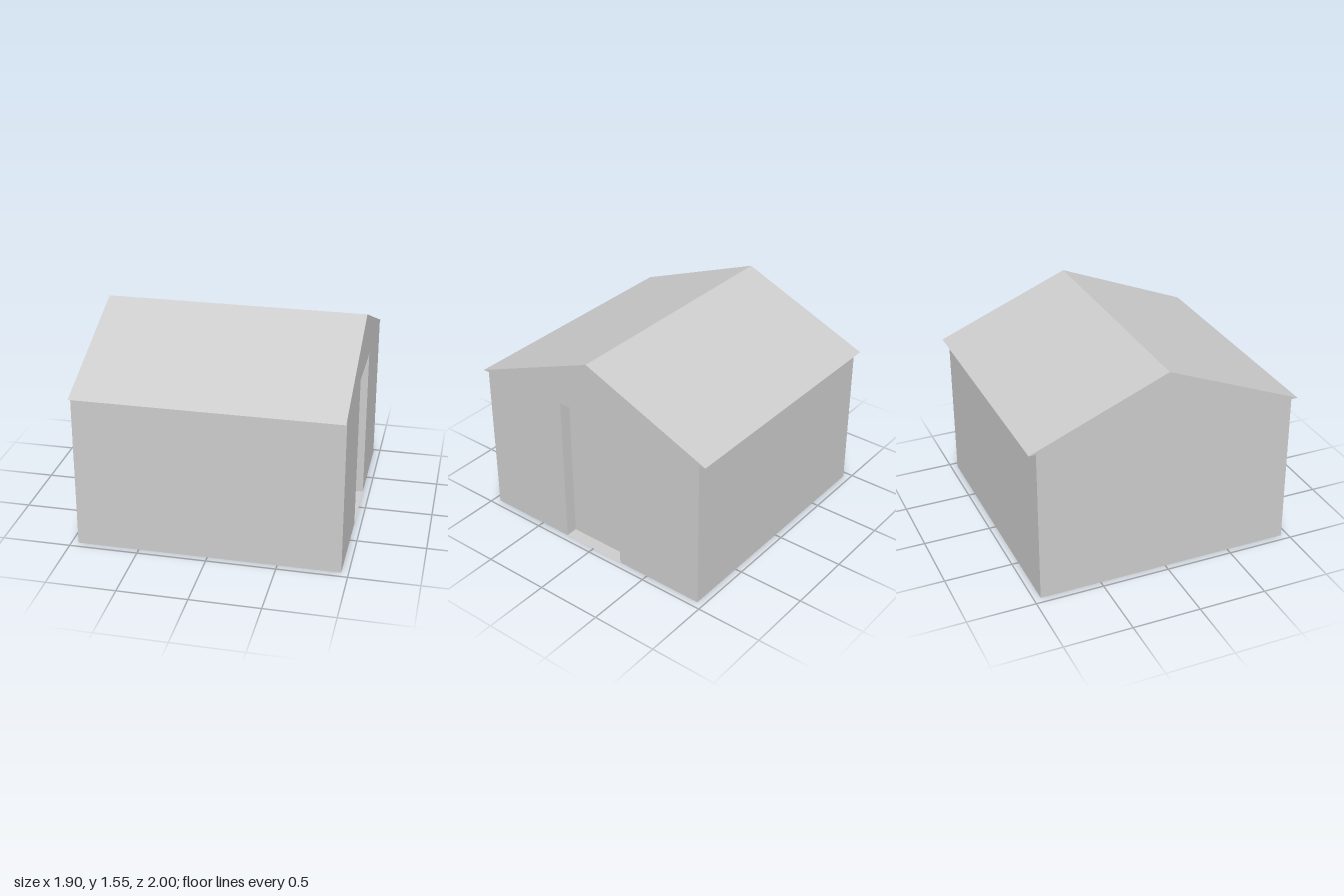
import * as THREE from 'three';

const END = 0.95;      // half length along the ridge
const WALL = 0.95;     // half depth of the walls
const EAVE = 1.145;    // eave height
const RIDGE = 1.55;
const DOOR = 0.255;    // half width of the doorway
const DOOR_TOP = 1.15;
const RECESS = 0.09;

const material = new THREE.MeshStandardMaterial({ color: 0xcccccc, flatShading: true });

function part(name, geometry) {
  const mesh = new THREE.Mesh(geometry, material);
  mesh.name = name;
  return mesh;
}

// Sweeps a [z, y] outline along x, one flat strip per segment
function sweep(outline, x0, x1) {
  const position = [];
  for (let i = 0; i < outline.length - 1; i++) {
    const [az, ay] = outline[i];
    const [bz, by] = outline[i + 1];
    position.push(x0, ay, az, x1, ay, az, x1, by, bz);
    position.push(x0, ay, az, x1, by, bz, x0, by, bz);
  }
  const geometry = new THREE.BufferGeometry();
  geometry.setAttribute('position', new THREE.Float32BufferAttribute(position, 3));
  geometry.computeVertexNormals();
  return geometry;
}

// Flat panel facing +x (side 1) or -x (side -1)
function panel(points, side, x) {
  const shape = new THREE.Shape(points.map(([z, y]) => new THREE.Vector2(z, y)));
  return new THREE.ShapeGeometry(shape).rotateY(side * Math.PI / 2).translate(x, 0, 0);
}

export function createModel() {
  const group = new THREE.Group();
  group.name = 'gabledShed';

  const gable = [[WALL, 0], [WALL, EAVE], [1, EAVE], [0, RIDGE], [-1, EAVE], [-WALL, EAVE], [-WALL, 0]];
  const opening = [[-DOOR, 0], [-DOOR, DOOR_TOP], [DOOR, DOOR_TOP], [DOOR, 0]];

  // Long sides, floor and roof with its small eaves
  group.add(part('floor', sweep([[-WALL, 0], [WALL, 0]], -END, END)));
  group.add(part('frontWall', sweep([[WALL, 0], [WALL, EAVE]], -END, END)));
  group.add(part('backWall', sweep([[-WALL, EAVE], [-WALL, 0]], -END, END)));
  group.add(part('roof', sweep([[WALL, EAVE], [1, EAVE], [0, RIDGE], [-1, EAVE], [-WALL, EAVE]], -END, END)));

  // Gable ends: plain on one side, notched for the doorway on the other
  group.add(part('plainGable', panel(gable, -1, -END)));
  group.add(part('doorGable', panel([...gable, ...opening], 1, END)));

  // Recessed doorway: threshold, jambs and head, closed by the door
  group.add(part('doorwayReveal', sweep([[DOOR, 0], ...opening], END - RECESS, END)));
  group.add(part('door', panel(opening, 1, END - RECESS)));

  return group;
}
